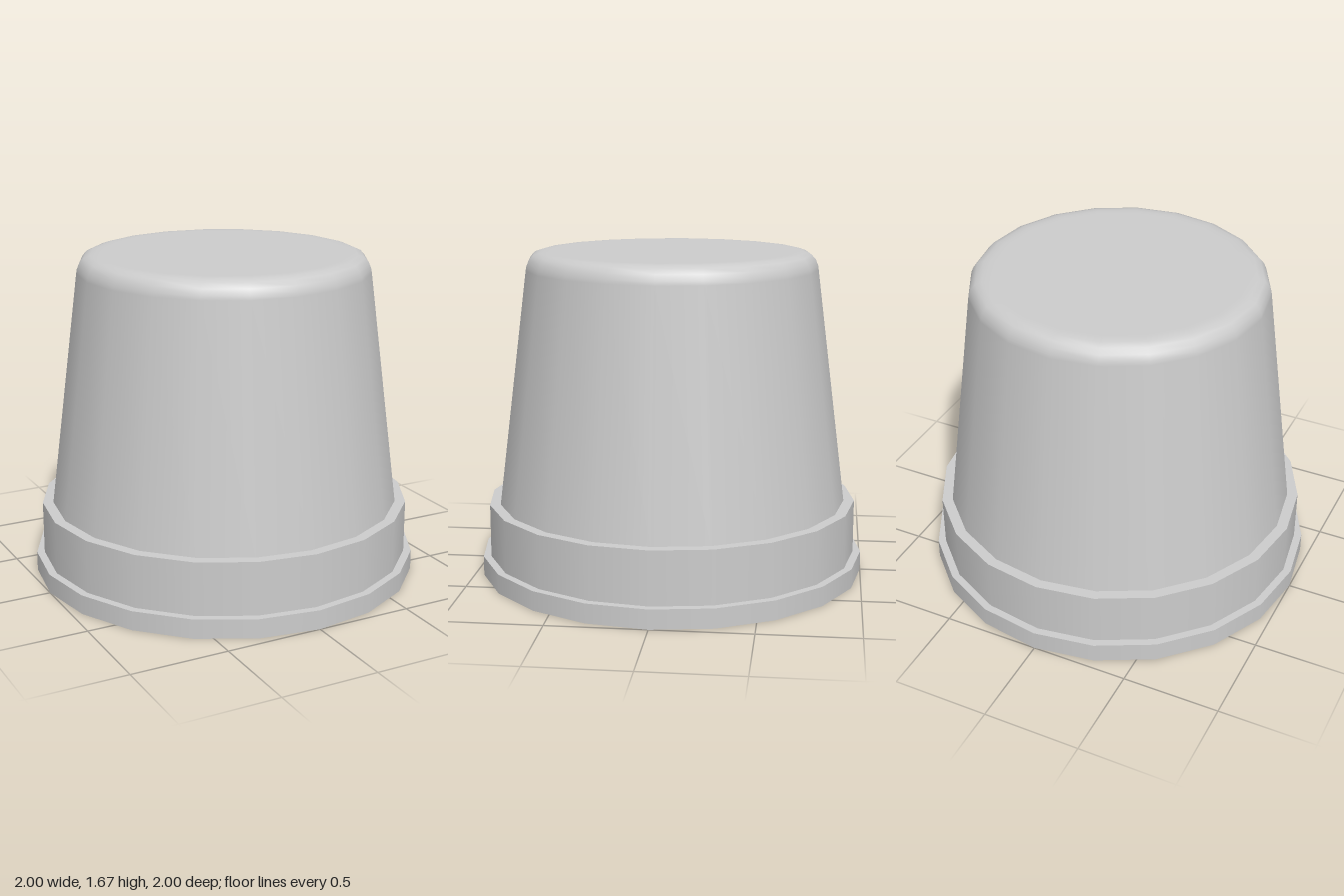
import * as THREE from 'three';

const SIDES = 20;

export function createModel() {
  const model = new THREE.Group();
  const material = new THREE.MeshStandardMaterial({ color: 0xcccccc });

  function add(name, geometry, y = 0) {
    const mesh = new THREE.Mesh(geometry, material);
    mesh.name = name;
    mesh.position.y = y;
    model.add(mesh);
  }

  // Stepped rim: wide flange with a narrower collar on it
  add('flange', new THREE.CylinderGeometry(1, 1, 0.1, SIDES), 0.05);
  add('collar', new THREE.CylinderGeometry(0.96, 0.96, 0.275, SIDES), 0.2375);

  // Tapered body with a rounded upper edge and flat top
  const profile = [
    [0.905, 0.375], [0.75, 1.585], [0.747, 1.605], [0.735, 1.635],
    [0.713, 1.66], [0.68, 1.672], [0.645, 1.675], [0.62, 1.675], [0, 1.675],
  ].map(([r, y]) => new THREE.Vector2(r, y));
  add('body', new THREE.LatheGeometry(profile, SIDES));

  return model;
}
